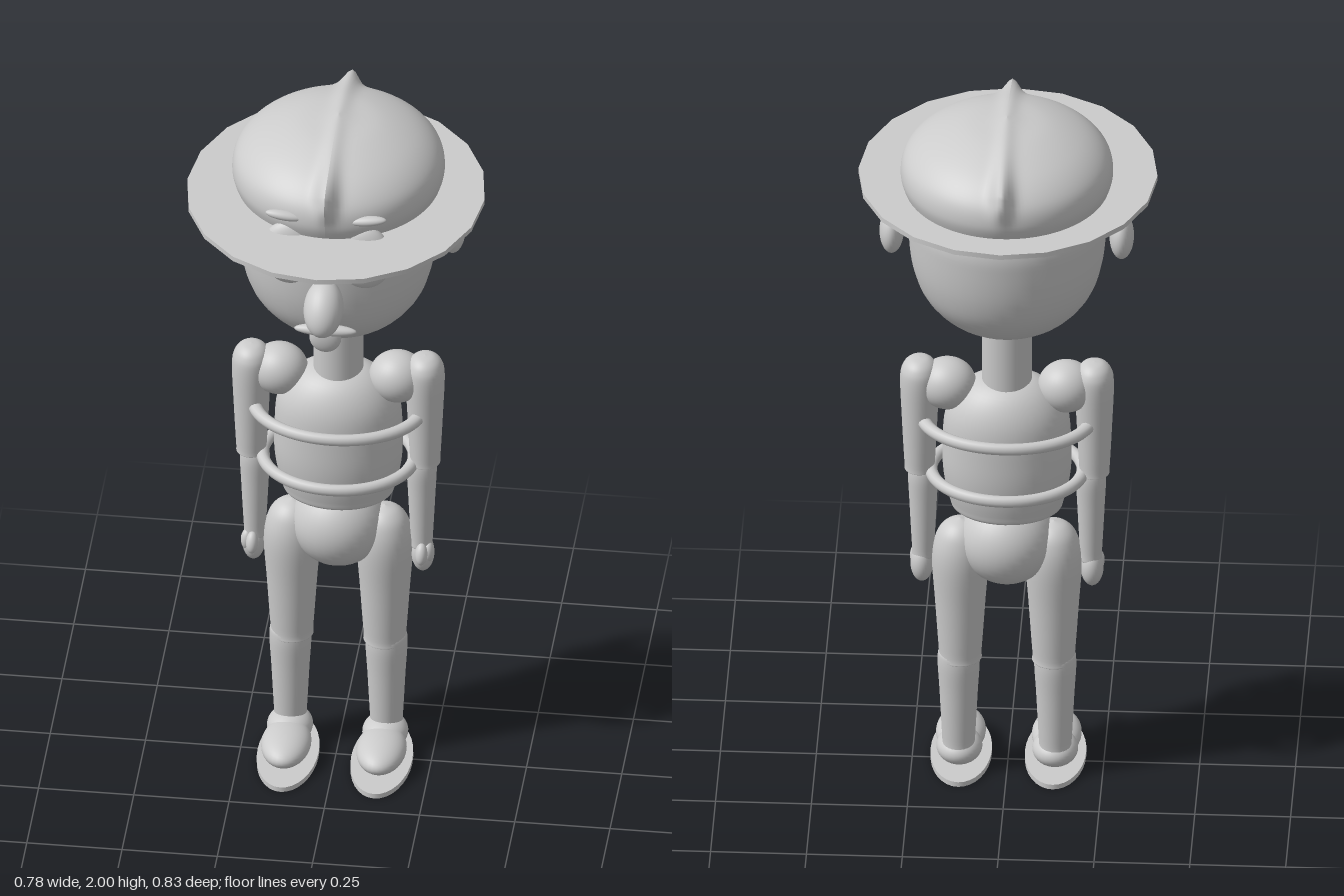
import * as THREE from 'three';

const MID = -0.053; // depth of the body axis
const grey = new THREE.MeshStandardMaterial({ color: 0xcccccc, side: THREE.DoubleSide });

export function createModel() {
  const root = new THREE.Group();

  const add = (name, geo, x = 0, y = 0, z = 0) => {
    const mesh = new THREE.Mesh(geo, grey);
    mesh.name = name;
    mesh.position.set(x, y, z);
    root.add(mesh);
    return mesh;
  };
  const ball = (name, x, y, z, rx, ry, rz) => {
    const mesh = add(name, new THREE.SphereGeometry(1, 32, 24), x, y, z);
    mesh.scale.set(rx, ry, rz);
    return mesh;
  };
  // Smooth turned form from [radius, height] pairs, listed bottom to top
  const turned = (pairs, segments = 40, steps = 40) => {
    const curve = new THREE.SplineCurve(pairs.map(([r, y]) => new THREE.Vector2(r, y)));
    const points = curve.getPoints(steps);
    points.forEach((p) => { p.x = Math.max(p.x, 0); });
    return new THREE.LatheGeometry(points, segments);
  };

  // Head and neck
  const head = add('head', turned([
    [0, 1.355], [0.08, 1.366], [0.16, 1.405], [0.218, 1.47], [0.247, 1.55],
    [0.258, 1.65], [0.255, 1.72], [0.22, 1.82], [0, 1.9],
  ]), 0, 0, -0.04);
  head.scale.z = 0.98;
  add('neck', new THREE.CylinderGeometry(0.065, 0.065, 0.24, 32), 0, 1.28, MID);

  // Hat crown: a dome pulled out into a narrow crest along the middle
  const crownGeo = turned([
    [0.2, 1.735], [0.245, 1.74], [0.262, 1.78], [0.277, 1.835], [0.262, 1.89],
    [0.205, 1.94], [0.11, 1.978], [0, 1.99],
  ], 160, 48);
  const pos = crownGeo.attributes.position;
  for (let i = 0; i < pos.count; i++) {
    const x = pos.getX(i), y = pos.getY(i), z = pos.getZ(i);
    const crest = Math.exp(-((x / 0.024) ** 2));
    const rim = Math.exp(-(((y - 1.905) / 0.045) ** 2));
    pos.setZ(i, z + Math.sign(z) * 0.036 * crest * rim);
    pos.setY(i, y + crest * (0.018 * rim + (y > 1.9 ? 0.008 : 0)));
  }
  crownGeo.computeVertexNormals();
  const crown = add('hatCrown', crownGeo, 0, 0, -0.055);
  crown.scale.z = 1.045;
  const brim = add('hatBrim', new THREE.CylinderGeometry(1, 1, 0.014, 20), 0, 1.79, 0);
  brim.scale.set(0.39, 1, 0.416);

  // Nose and mouth
  ball('nose', 0, 1.602, 0.265, 0.052, 0.078, 0.052).rotation.x = -0.75;
  ball('upperLip', 0, 1.508, 0.228, 0.082, 0.016, 0.018);
  ball('lowerLip', 0, 1.485, 0.228, 0.042, 0.045, 0.018);

  // Torso, pelvis and the two rings around the chest
  const torso = add('torso', turned([
    [0, 1.205], [0.07, 1.2], [0.125, 1.165], [0.16, 1.1], [0.168, 1.0],
    [0.166, 0.92], [0.15, 0.84], [0.127, 0.81], [0, 0.79],
  ].reverse()), 0, 0, MID);
  torso.scale.z = 0.78;
  ball('pelvis', 0, 0.71, MID, 0.125, 0.122, 0.12);
  for (const [y, rx] of [[1.08, 0.22], [0.92, 0.198]]) {
    const ring = add('chestRing', new THREE.TorusGeometry(1, 0.085, 14, 64).rotateX(Math.PI / 2), 0, y, -0.05);
    ring.scale.set(rx, 0.19, 0.166);
  }

  // Mirrored parts
  for (const [side, s] of [['left', 1], ['right', -1]]) {
    ball(side + 'Ear', s * 0.3, 1.65, -0.063, 0.032, 0.064, 0.053);
    ball(side + 'Eye', s * 0.098, 1.728, 0.198, 0.075, 0.096, 0.036);
    ball(side + 'Pupil', s * 0.092, 1.73, 0.234, 0.03, 0.04, 0.016);
    ball(side + 'Eyebrow', s * 0.108, 1.853, 0.213, 0.051, 0.013, 0.016).rotation.z = s * 0.12;

    // Arm
    ball(side + 'Shoulder', s * 0.155, 1.18, MID, 0.075, 0.07, 0.07);
    const upperArm = add(side + 'UpperArm', turned([
      [0, 0.915], [0.036, 0.917], [0.04, 0.94], [0.047, 1.08], [0.051, 1.19],
      [0.044, 1.23], [0.025, 1.25], [0, 1.255],
    ], 32), s * 0.228, 0, -0.05);
    upperArm.scale.z = 1.12;
    add(side + 'Forearm', turned([
      [0, 0.645], [0.026, 0.648], [0.029, 0.68], [0.036, 0.82], [0.039, 0.9], [0.03, 0.93], [0, 0.94],
    ], 32), s * 0.219, 0, -0.05);
    ball(side + 'Hand', s * 0.222, 0.628, -0.05, 0.03, 0.054, 0.036);
    ball(side + 'Thumb', s * 0.222, 0.645, -0.014, 0.016, 0.03, 0.018).rotation.x = -0.35;
    ball(side + 'HandSide', s * 0.238, 0.64, -0.035, 0.016, 0.03, 0.018);

    // Leg
    add(side + 'Thigh', turned([
      [0, 0.34], [0.052, 0.343], [0.056, 0.37], [0.066, 0.52], [0.074, 0.65],
      [0.062, 0.72], [0.036, 0.755], [0, 0.768],
    ], 32), s * 0.122, 0, MID);
    add(side + 'Shin', turned([
      [0, 0.06], [0.04, 0.062], [0.043, 0.1], [0.05, 0.24], [0.055, 0.34], [0.045, 0.37], [0, 0.38],
    ], 32), s * 0.126, 0, MID);

    // Shoe: a long toe, a heel and a thin sole
    ball(side + 'ShoeToe', s * 0.125, 0.058, 0.045, 0.065, 0.041, 0.105);
    ball(side + 'ShoeHeel', s * 0.125, 0.062, -0.035, 0.06, 0.043, 0.07);
    const sole = add(side + 'Sole', new THREE.CylinderGeometry(1, 1, 0.014, 32), s * 0.123, 0.008, 0.022);
    sole.scale.set(0.08, 1, 0.168);
  }
  return root;
}
